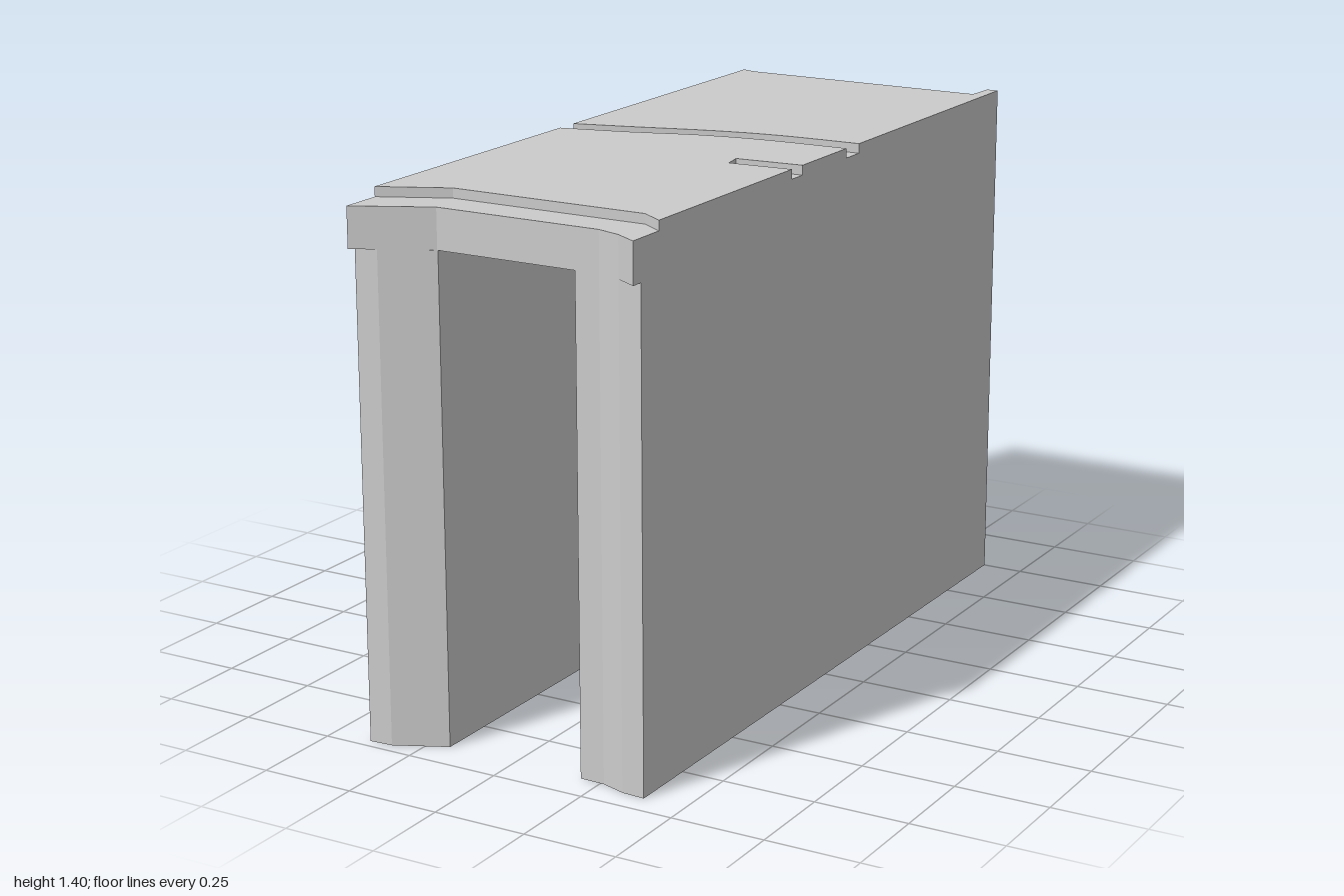
import * as THREE from 'three';

const W = 0.387;        // half width
const INNER = 0.193;    // half width of the tunnel
const LEG_TOP = 1.27, DECK_TOP = 1.375, TOP = 1.4;

const material = new THREE.MeshStandardMaterial({ color: 0xcccccc, flatShading: true });

// Vertical prism from a plan outline of [x, z] points
function prism(name, plan, y0, y1) {
  const shape = new THREE.Shape(plan.map(([x, z]) => new THREE.Vector2(x, -z)));
  const geometry = new THREE.ExtrudeGeometry(shape, { depth: y1 - y0, bevelEnabled: false });
  geometry.rotateX(-Math.PI / 2).translate(0, y0, 0);
  const mesh = new THREE.Mesh(geometry, material);
  mesh.name = name;
  return mesh;
}

// Points along a smooth curve through [x, z] points
function smooth(points, n = 16) {
  const curve = new THREE.SplineCurve(points.map(p => new THREE.Vector2(...p)));
  return curve.getPoints(n).map(p => [p.x, p.y]);
}

export function createModel() {
  const model = new THREE.Group();
  model.name = 'channelBlock';

  // Side walls, set back under the deck at the outer front corners
  model.add(prism('rightWall', [
    [-W, -1], [-W, 0.972], [-0.325, 0.968], [-INNER, 0.905], [-INNER, -1],
  ], 0, LEG_TOP));
  model.add(prism('leftWall', [
    [INNER, -1], [INNER, 0.909], [0.26, 0.911], [0.325, 0.932], [W, 0.936], [W, -1],
  ], 0, LEG_TOP));

  // Deck bridging the walls
  model.add(prism('deck', [
    [-W, -1], [-W, 1], [-0.195, 0.905], [0.26, 0.911], [0.325, 0.932], [W, 0.97], [W, -1],
  ], LEG_TOP, DECK_TOP));

  // Front top slab, with a curved rear edge and a notch in its left side
  const grooveFront = smooth([[-W, 0.055], [-0.2, 0.01], [-0.025, -0.045], [0.16, -0.074], [W, -0.081]]);
  model.add(prism('frontTopSlab', [
    [-W, 0.885], [-0.215, 0.805], [0.325, 0.812], [W, 0.855],
    [W, 0.212], [0.215, 0.222], [0.205, 0.168], [W, 0.157],
    ...grooveFront.reverse(),
  ], DECK_TOP, TOP));

  // Rear top slab, recessed along the back except for the left corner
  const grooveBack = smooth([[-W, -0.01], [-0.235, -0.05], [-0.025, -0.11], [0.16, -0.142], [W, -0.15]]);
  model.add(prism('rearTopSlab', [
    ...grooveBack, [W, -1], [0.355, -1], [0.35, -0.917], [-0.345, -0.925], [-W, -0.938],
  ], DECK_TOP, TOP));

  return model;
}
